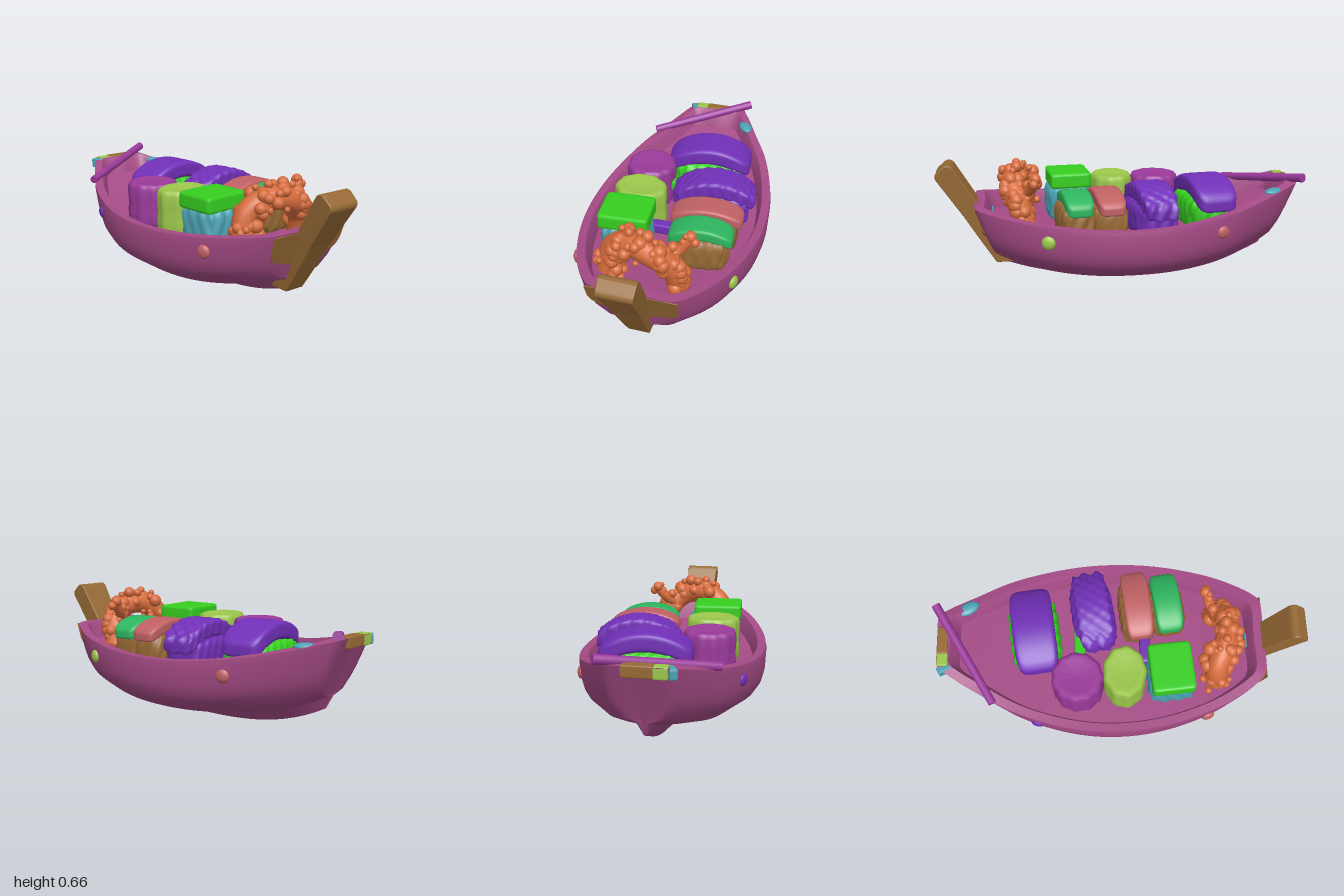
import * as THREE from 'three';
import { mergeGeometries, mergeVertices, toCreasedNormals } from 'three/addons/utils/BufferGeometryUtils.js';

const mat = (name, color) => Object.assign(new THREE.MeshStandardMaterial({ color }), { name });
const M = {
  hull: mat('plum', 0xa54b86), wood: mat('brown', 0x976a35), orange: mat('orange', 0xd66c3c),
  magenta: mat('magenta', 0x9b3a9b), lime: mat('lime', 0x9cc74c), green: mat('bright green', 0x36cf20),
  emerald: mat('emerald', 0x2eb55f), salmon: mat('salmon', 0xc06163), purple: mat('purple', 0x7230b8),
  teal: mat('teal', 0x4ca3b4),
};
const V = (x, y, z) => new THREE.Vector3(x, y, z);

// Sheer line and keel line along the boat
const yTop = z => 0.375 + (z > 0 ? 0.075 * (z / 0.8) ** 2 : 0.15 * (z / 0.97) ** 2);
const yKeel = z => (z > 0 ? 0.11 * (z / 0.8) ** 2.5 : 0.14 * (-z / 0.97) ** 3);

// Hull: the plan outline is repeated as rings from the keel up, over the rim and down to the floor
function hullGeometry() {
  const half = [[0, 0.8], [0.2, 0.8], [0.245, 0.775], [0.36, 0.6], [0.437, 0.4], [0.483, 0.2], [0.5, 0], [0.488, -0.2],
    [0.446, -0.4], [0.375, -0.6], [0.28, -0.77], [0.19, -0.92], [0.145, -0.97], [0, -0.97]];
  const side = new THREE.CatmullRomCurve3(half.map(([x, z]) => V(x, 0, z)), false, 'centripetal').getPoints(78);
  const ring = [...side, ...side.slice(1, -1).reverse().map(p => V(-p.x, 0, p.z))];
  const outer = [[0, 0], [0.06, 0], [0.22, 0.18], [0.45, 0.205], [0.7, 0.25], [0.91, 0.43], [0.965, 0.54],
    [0.99, 0.67], [1, 0.93], [0.99, 1]];
  const levels = outer.map(([w, h]) => p => V(p.x * w,
    THREE.MathUtils.lerp(yKeel(p.z), yTop(p.z), h),
    p.z * THREE.MathUtils.lerp(p.z > 0 ? 0.85 : 0.83, 1, h)));
  const inner = [[0.9, 0.935, 0], [0.88, 0.92, 0.02], [0.85, 0.89, 0.1], [0, 0.89, 0.1]];
  inner.forEach(([w, l, drop]) => levels.push(p => V(p.x * w, yTop(p.z) - drop, p.z * l)));
  const pos = [], index = [], n = ring.length;
  levels.forEach((f, l) => ring.forEach((p, i) => {
    pos.push(...f(p).toArray());
    if (l === levels.length - 1) return;
    const a = l * n + i, b = l * n + (i + 1) % n;
    index.push(a, b, b + n, a, b + n, a + n);
  }));
  const g = new THREE.BufferGeometry();
  g.setAttribute('position', new THREE.Float32BufferAttribute(pos, 3));
  g.setIndex(index);
  return toCreasedNormals(g, 0.6);
}

// Soft block: rounded box with optional sag at its ends and a lumpy skin
function pillow(w, h, d, { round = 6, sag = 0, lump = 0 } = {}) {
  let g = new THREE.BoxGeometry(2, 2, 2, 26, 10, 18);
  g.deleteAttribute('uv');
  g.deleteAttribute('normal');
  g = mergeVertices(g);
  const p = g.attributes.position;
  for (let i = 0; i < p.count; i++) {
    const v = V().fromBufferAttribute(p, i);
    const r = (Math.abs(v.x) ** round + Math.abs(v.y) ** round + Math.abs(v.z) ** round) ** (1 / round);
    v.divideScalar(r);
    const bend = sag * v.x * v.x;
    v.multiply(V(w / 2, h / 2, d / 2));
    const k = 1 + lump * Math.sin(v.x * 95) * Math.cos(v.z * 85 + v.y * 40);
    p.setXYZ(i, v.x * k, v.y * k - bend, v.z * k);
  }
  g.computeVertexNormals();
  return g;
}

// Round roll with a dished top and scalloped side
function roll(r, h, scallops) {
  const pts = [[0, 0], [0.9, 0], [1, 0.1], [1, 0.35], [0.97, 0.5], [1, 0.65], [1, 0.88], [0.94, 0.97], [0.82, 1], [0.7, 0.97], [0, 0.95]];
  const g = new THREE.LatheGeometry(pts.map(([x, y]) => new THREE.Vector2(x * r, y * h)), 64);
  const p = g.attributes.position;
  for (let i = 0; i < p.count; i++) {
    const k = 1 + 0.025 * Math.cos(scallops * Math.atan2(p.getX(i), p.getZ(i)));
    p.setX(i, p.getX(i) * k);
    p.setZ(i, p.getZ(i) * k);
  }
  g.computeVertexNormals();
  return g;
}

// Bow post: side profile extruded across, widening towards the top
function postGeometry() {
  const s = new THREE.Shape();
  s.moveTo(0.6, 0.11);
  s.lineTo(0.695, 0.11);
  s.quadraticCurveTo(0.79, 0.26, 0.86, 0.38);
  s.lineTo(0.995, 0.585);
  s.quadraticCurveTo(1.005, 0.605, 0.985, 0.62);
  s.lineTo(0.95, 0.65);
  s.quadraticCurveTo(0.925, 0.66, 0.91, 0.635);
  s.lineTo(0.79, 0.44);
  const g = new THREE.ExtrudeGeometry(s, { depth: 0.18, bevelEnabled: true, bevelSize: 0.006, bevelThickness: 0.006, bevelSegments: 2 });
  g.translate(0, 0, -0.09).rotateY(-Math.PI / 2);
  const p = g.attributes.position;
  for (let i = 0; i < p.count; i++) p.setX(i, p.getX(i) * (0.62 + 0.36 * (p.getY(i) - 0.1) / 0.55));
  g.computeVertexNormals();
  return g;
}

// Knobbly fried piece: an arched body, a raised tail and many small bumps
function friedGeometry() {
  let seed = 7;
  const rnd = () => (seed = (seed * 16807) % 2147483647) / 2147483647;
  const body = new THREE.CatmullRomCurve3([V(-0.21, 0.35, 0.54), V(-0.18, 0.49, 0.53), V(-0.08, 0.56, 0.57),
    V(0.05, 0.54, 0.6), V(0.14, 0.46, 0.57), V(0.17, 0.34, 0.54)]);
  const tail = new THREE.CatmullRomCurve3([V(0.1, 0.48, 0.56), V(0.16, 0.53, 0.51), V(0.21, 0.59, 0.49)]);
  const parts = [new THREE.TubeGeometry(body, 40, 0.062, 14), new THREE.TubeGeometry(tail, 12, 0.028, 10)];
  const ball = (c, r) => parts.push(new THREE.SphereGeometry(r, 10, 8).translate(c.x, c.y, c.z));
  for (let i = 0; i < 110; i++) {
    const t = rnd(), dir = V(rnd() - 0.5, rnd() - 0.5, rnd() - 0.5).normalize();
    const bulk = t < 0.6 ? 0.078 : 0.05;
    ball(body.getPoint(t).addScaledVector(dir, bulk), 0.014 + 0.026 * rnd());
  }
  [[0.21, 0.6, 0.48, 0.03], [0.235, 0.575, 0.49, 0.024], [0.18, 0.575, 0.5, 0.022], [0.19, 0.61, 0.5, 0.016],
    [0.13, 0.55, 0.52, 0.028]].forEach(([x, y, z, r]) => ball(V(x, y, z), r));
  return mergeGeometries(parts);
}

export function createModel() {
  const boat = new THREE.Group();
  boat.name = 'sushiBoat';
  const add = (name, geo, material, x = 0, y = 0, z = 0, turn = 0) => {
    const m = new THREE.Mesh(geo, material);
    m.name = name;
    m.position.set(x, y, z);
    m.rotation.y = turn;
    boat.add(m);
    return m;
  };
  add('hull', hullGeometry(), M.hull);
  add('bowPost', postGeometry(), M.wood);

  // Painted bow panel lying on the sloping front face
  const s = new THREE.Shape();
  s.moveTo(-0.236, 0.19);
  s.lineTo(-0.236, 0.1);
  s.quadraticCurveTo(-0.225, 0.05, -0.19, 0.035);
  s.lineTo(-0.06, 0);
  s.lineTo(0.06, 0);
  s.lineTo(0.19, 0.035);
  s.quadraticCurveTo(0.225, 0.05, 0.236, 0.1);
  s.lineTo(0.236, 0.19);
  const panel = add('bowPanel', new THREE.ExtrudeGeometry(s, { depth: 0.006, bevelEnabled: false }), M.wood, 0, 0.265, 0.736);
  panel.rotation.x = Math.atan(0.12 / 0.34);

  // Slices over rice: [name, topping, rice, x, z, width, depth, top, turn, lump]
  [['wideSlice', M.purple, M.green, 0.07, -0.46, 0.48, 0.23, 0.57, 0.12, 0],
    ['ribbedSlice', M.purple, M.purple, 0.18, -0.135, 0.45, 0.19, 0.56, 0.14, 0.05],
    ['pinkSlice', M.salmon, M.wood, 0.2, 0.11, 0.39, 0.15, 0.54, 0.1, 0],
    ['greenSlice', M.emerald, M.wood, 0.21, 0.275, 0.34, 0.15, 0.535, 0.12, 0],
  ].forEach(([name, top, rice, x, z, w, d, y, turn, lump]) => {
    const thick = top === M.purple ? 0.1 : 0.07;
    add(name, pillow(w, thick, d, { sag: top === M.purple ? 0.08 : 0.05, lump }), top, x, y - thick / 2, z, turn);
    add(name + 'Rice', pillow(w * 0.86, 0.2, d + 0.045, { round: 4, lump: 0.045 }), rice, x, 0.375, z, turn);
  });

  // Square block on rice, and two round rolls
  add('blockTopping', pillow(0.27, 0.085, 0.23, { round: 14 }), M.green, -0.195, 0.52, 0.28, 0.08);
  add('blockRice', pillow(0.25, 0.21, 0.25, { round: 5, lump: 0.05 }), M.teal, -0.195, 0.39, 0.28, 0.08);
  add('limeRoll', roll(0.145, 0.25, 9), M.lime, -0.2, 0.285, 0.03).scale.z = 0.8;
  add('magentaRoll', roll(0.138, 0.24, 11), M.magenta, -0.22, 0.285, -0.225);
  add('friedPiece', friedGeometry(), M.orange);

  // Small garnish bars between the pieces
  add('greenGarnish', pillow(0.2, 0.06, 0.06), M.green, 0, 0.4, -0.21);
  add('purpleGarnish', pillow(0.16, 0.06, 0.06), M.purple, -0.03, 0.36, 0.15);
  add('tealGarnish', new THREE.BoxGeometry(0.08, 0.03, 0.008), M.teal, 0, 0.385, 0.711);
  add('sternGarnish', pillow(0.15, 0.015, 0.05, { lump: 0.2 }), M.magenta, -0.01, 0.385, -0.81, 0.1);

  // Stick laid across the stern
  const a = V(-0.34, 0.46, -0.68), b = V(0.195, 0.555, -0.985);
  const stick = add('stick', new THREE.CylinderGeometry(0.024, 0.022, a.distanceTo(b), 16), M.magenta);
  stick.position.copy(a).lerp(b, 0.5);
  stick.quaternion.setFromUnitVectors(V(0, 1, 0), b.clone().sub(a).normalize());

  // Studs on the hull sides
  [[0.423, 0.315, 0.43, M.lime, 0.3], [0.41, 0.33, -0.48, M.salmon, -0.3], [-0.41, 0.33, 0.48, M.salmon, -0.35],
    [-0.42, 0.33, -0.45, M.purple, 0.3]].forEach(([x, y, z, m, slope]) => {
    add('stud', new THREE.SphereGeometry(0.036, 20, 14), m, x, y, z, -slope).scale.x = 0.55;
  });

  // Coloured patches on the stern rim
  add('rimPatch', new THREE.SphereGeometry(0.06, 20, 12), M.teal, 0.2, 0.485, -0.82, 0.5).scale.set(0.6, 0.35, 1.05);
  add('sternPatchBrown', pillow(0.155, 0.06, 0.06, { round: 12 }), M.wood, 0, 0.502, -0.946);
  add('sternPatchLime', pillow(0.07, 0.06, 0.06, { round: 12 }), M.lime, -0.108, 0.5, -0.945);
  add('sternPatchTeal', pillow(0.04, 0.055, 0.08, { round: 8 }), M.teal, -0.152, 0.496, -0.935, 0.5);
  return boat;
}
